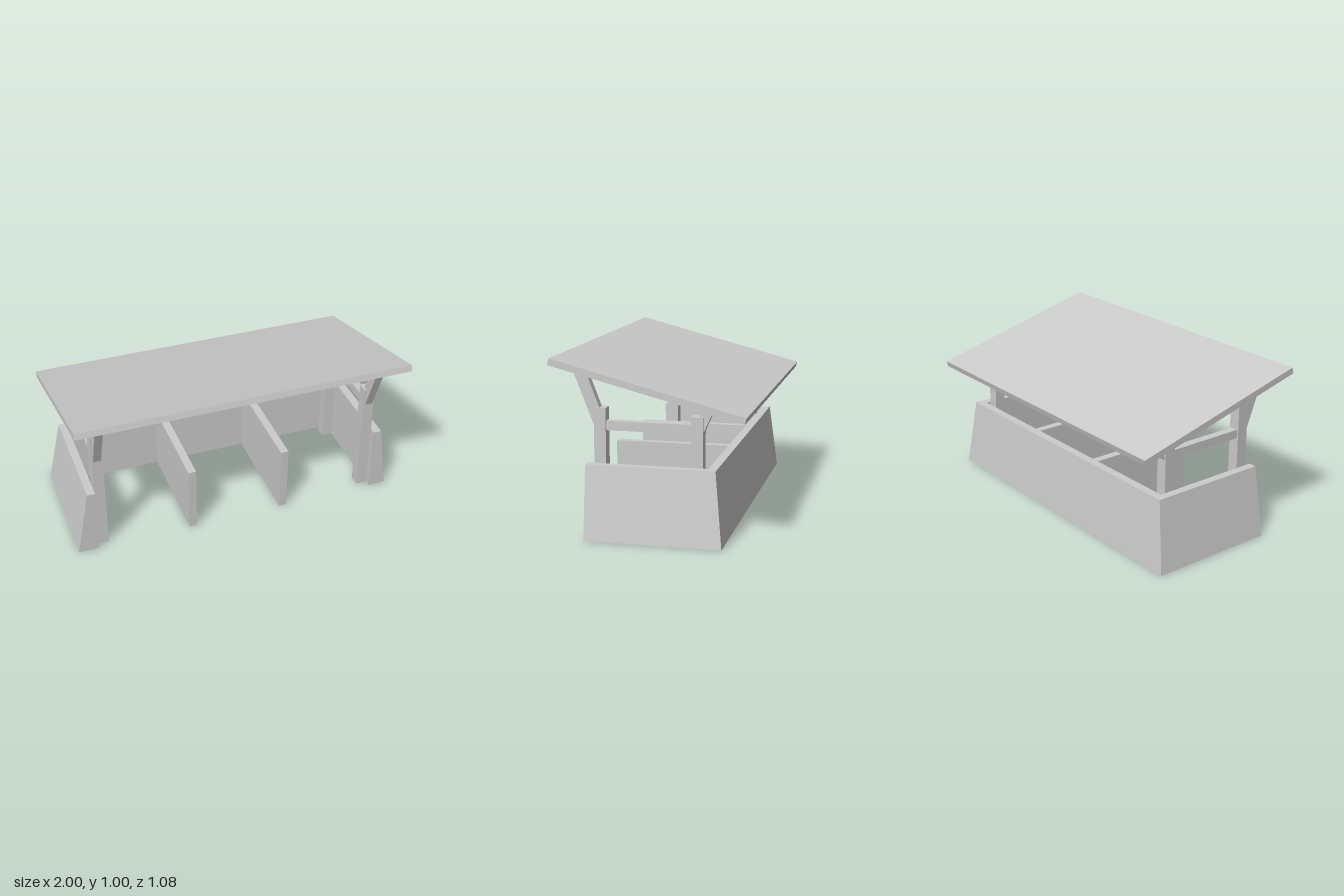
import * as THREE from 'three';

const mat = new THREE.MeshStandardMaterial({ color: 0xcccccc, flatShading: true, side: THREE.DoubleSide });

// Open-bottomed solid between a ground outline and a top outline; points are [x, z], counterclockwise from above
function standing(name, base, height, top = base) {
  const pos = [];
  const put = (p, y) => pos.push(p[0], y, p[1]);
  base.forEach((a, i) => {
    const j = (i + 1) % base.length;
    put(a, 0); put(base[j], 0); put(top[j], height);
    put(a, 0); put(top[j], height); put(top[i], height);
  });
  const flat = top.map(([x, z]) => new THREE.Vector2(x, -z));
  THREE.ShapeUtils.triangulateShape(flat, []).forEach(f => f.forEach(k => put(top[k], height)));
  const g = new THREE.BufferGeometry();
  g.setAttribute('position', new THREE.Float32BufferAttribute(pos, 3));
  g.computeVertexNormals();
  const mesh = new THREE.Mesh(g, mat);
  mesh.name = name;
  return mesh;
}

const rect = (x0, x1, z0, z1) => [[x0, z1], [x1, z1], [x1, z0], [x0, z0]];

// Side profile of [z, y] points extruded across x, centred on the given x
function profile(name, pts, width, x = 0) {
  const shape = new THREE.Shape(pts.map(p => new THREE.Vector2(p[0], p[1])));
  const g = new THREE.ExtrudeGeometry(shape, { depth: width, bevelEnabled: false });
  g.translate(0, 0, -width / 2).rotateY(-Math.PI / 2).translate(x, 0, 0);
  const mesh = new THREE.Mesh(g, mat);
  mesh.name = name;
  return mesh;
}

export function createModel() {
  const model = new THREE.Group();
  model.name = 'marketStall';

  // Three-sided enclosure with outer faces leaning inwards
  const wallHeight = 0.417, front = 0.357, inside = -0.318, xl = -0.875, xr = 0.893;
  const footprint = (left, right, back) => [
    [left, front], [xl, front], [xl, inside], [xr, inside],
    [xr, front], [right, front], [right, back], [left, back],
  ];
  model.add(standing('enclosureWall', footprint(-1, 1, -0.413), wallHeight, footprint(-0.923, 0.944, -0.368)));

  // Partitions between the bays
  for (const x of [-0.286, 0.302])
    model.add(standing('partition', rect(x - 0.024, x + 0.024, inside, front), wallHeight));

  // Frame at each end: two posts, a tie beam and two braces
  for (const [x, frontHeight] of [[-0.841, 0.856], [0.859, 0.724]]) {
    const frame = new THREE.Group();
    frame.name = 'endFrame';
    frame.add(
      standing('frontPost', rect(x - 0.034, x + 0.034, 0.252, 0.319), frontHeight),
      standing('backPost', rect(x - 0.034, x + 0.034, -0.289, -0.223), 0.694),
      profile('tieBeam', [[-0.223, 0.6], [0.252, 0.6], [0.252, 0.652], [-0.223, 0.652]], 0.048, x),
      profile('frontBrace', [[0.317, 0.612], [0.445, 0.945], [0.367, 0.926], [0.265, 0.66]], 0.048, x),
      profile('backBrace', [[-0.29, 0.612], [-0.346, 0.736], [-0.288, 0.751], [-0.25, 0.66]], 0.048, x),
    );
    model.add(frame);
  }

  // Sloping roof slab
  model.add(profile('roof', [[0.542, 0.966], [0.532, 1.002], [-0.542, 0.724], [-0.532, 0.689]], 2));
  return model;
}
